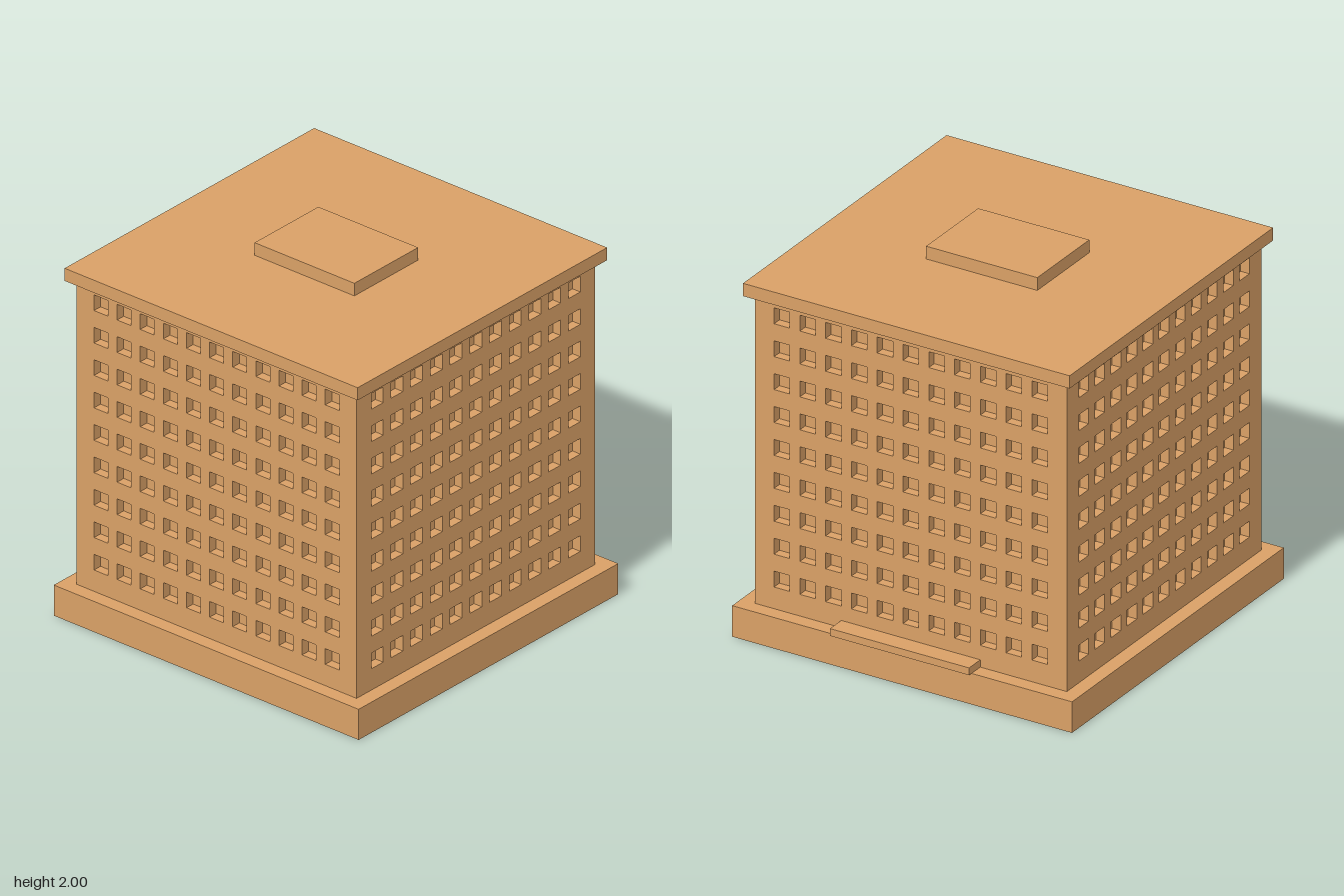
import * as THREE from 'three';

const material = new THREE.MeshStandardMaterial({ color: 0xd9a066 });

// Overall proportions
const HALF = 0.898;              // half width of the tower
const BOTTOM = 0.17, TOP = 1.86; // tower height range
const CENTER_Z = 0.0135;
const DEPTH = 0.05;              // window recess
const COLS = 11, ROWS = 9;
const STEP_X = 0.1484, STEP_Y = 0.1804, FIRST_Y = 0.332;
const WIN_W = 0.09, WIN_H = 0.087;

function box(name, w, y0, y1, z0, z1) {
  const mesh = new THREE.Mesh(new THREE.BoxGeometry(w, y1 - y0, z1 - z0), material);
  mesh.name = name;
  mesh.position.set(0, (y0 + y1) / 2, (z0 + z1) / 2);
  return mesh;
}

function rectangle(path, x0, y0, x1, y1) {
  path.moveTo(x0, y0);
  path.lineTo(x1, y0);
  path.lineTo(x1, y1);
  path.lineTo(x0, y1);
  path.closePath();
  return path;
}

// One wall pierced by a grid of windows, with mitred ends so four walls meet cleanly
function facadeGeometry() {
  const shape = rectangle(new THREE.Shape(), -HALF, BOTTOM, HALF, TOP);
  for (let r = 0; r < ROWS; r++) {
    for (let c = 0; c < COLS; c++) {
      const x = (c - (COLS - 1) / 2) * STEP_X;
      const y = FIRST_Y + r * STEP_Y;
      shape.holes.push(rectangle(new THREE.Path(),
        x - WIN_W / 2, y - WIN_H / 2, x + WIN_W / 2, y + WIN_H / 2));
    }
  }
  const geometry = new THREE.ExtrudeGeometry(shape, { depth: DEPTH, bevelEnabled: false });
  const pos = geometry.attributes.position;
  for (let i = 0; i < pos.count; i++) {
    const x = pos.getX(i);
    if (pos.getZ(i) < 1e-4 && Math.abs(x) > HALF - 1e-4) {
      pos.setX(i, Math.sign(x) * (HALF - DEPTH));
    }
  }
  geometry.translate(0, 0, HALF - DEPTH);
  geometry.computeVertexNormals();
  return geometry;
}

export function createModel() {
  const model = new THREE.Group();
  model.name = 'apartmentBlock';

  // Plinth, roof and rooftop housing
  model.add(box('plinth', 1.956, 0, BOTTOM, -0.965, 0.99));
  model.add(box('roofSlab', 1.88, TOP, 1.93, -0.926, 0.953));
  model.add(box('rooftopHousing', 0.64, 1.93, 2, -0.23, 0.25));

  // Ledge over the rear entrance
  model.add(box('rearLedge', 0.8, BOTTOM, 0.21, -0.988, -HALF + CENTER_Z));

  // Inner core forms the backs of the window recesses
  const inner = HALF - DEPTH;
  model.add(box('windowBacking', inner * 2, BOTTOM, TOP, CENTER_Z - inner, CENTER_Z + inner));

  // Four identical window walls
  const facade = facadeGeometry();
  ['frontWall', 'leftWall', 'backWall', 'rightWall'].forEach((name, i) => {
    const wall = new THREE.Mesh(facade, material);
    wall.name = name;
    wall.position.z = CENTER_Z;
    wall.rotation.y = i * Math.PI / 2;
    model.add(wall);
  });

  return model;
}
